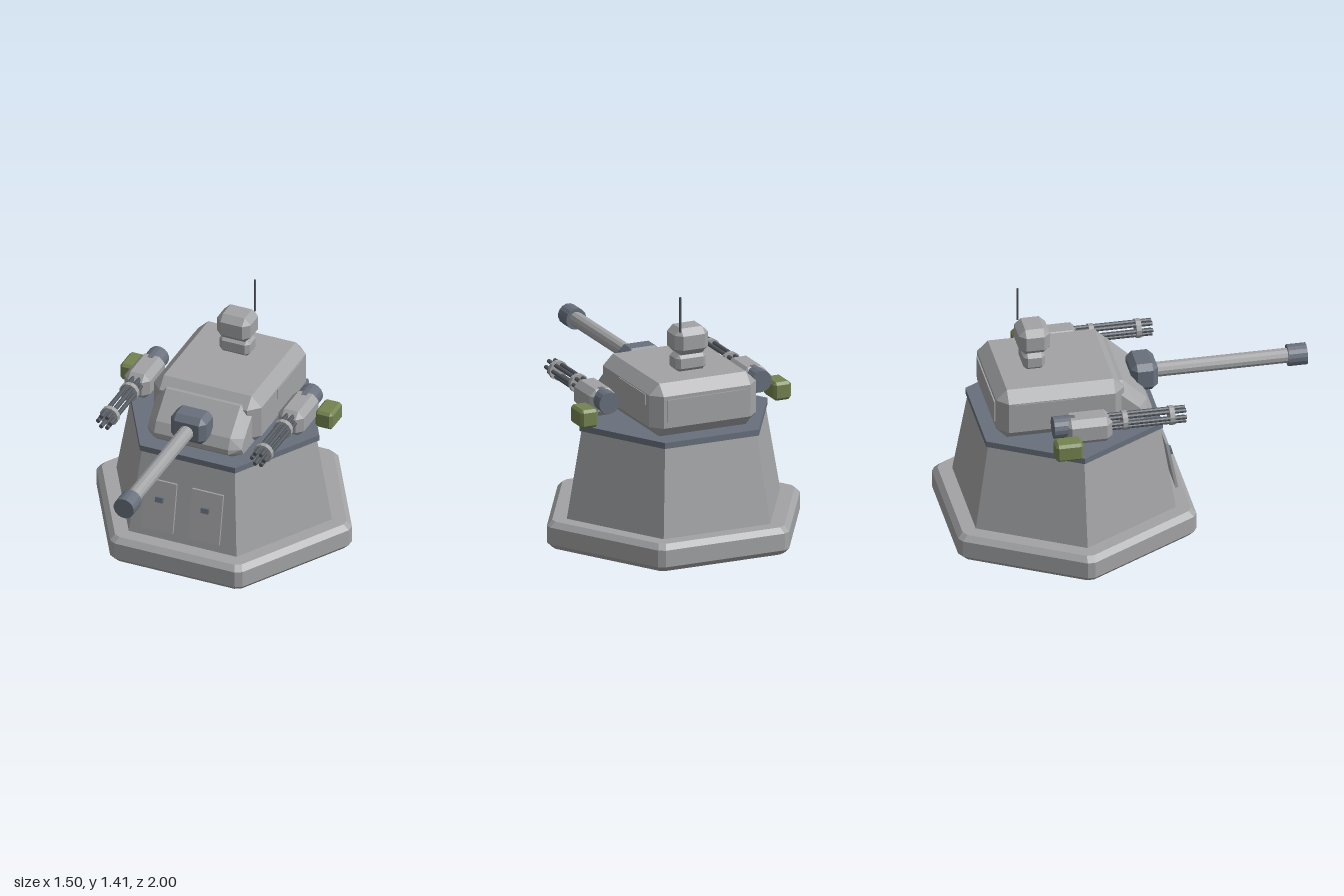
import * as THREE from 'three';
import { ConvexGeometry } from 'three/addons/geometries/ConvexGeometry.js';

const material = (name, color) => {
  const m = new THREE.MeshStandardMaterial({ color });
  m.name = name;
  return m;
};

export function createModel() {
  const model = new THREE.Group();
  model.name = 'gunTurret';
  const armour = material('armourGrey', 0xa2a3a5);
  const steel = material('blueSteel', 0x68707c);
  const gunmetal = material('gunmetal', 0x53585f);
  const green = material('ammoGreen', 0x748350);

  const add = (name, geometry, mat, x = 0, y = 0, z = 0, parent = model) => {
    const mesh = new THREE.Mesh(geometry, mat);
    mesh.name = name;
    mesh.position.set(x, y, z);
    parent.add(mesh);
    return mesh;
  };

  // Box with all edges and corners cut by b
  const chamferBox = (w, h, d, b) => {
    const points = [];
    for (const sx of [-1, 1]) for (const sy of [-1, 1]) for (const sz of [-1, 1]) {
      for (let axis = 0; axis < 3; axis++) {
        const cut = [b, b, b];
        cut[axis] = 0;
        points.push(new THREE.Vector3(sx * (w / 2 - cut[0]), sy * (h / 2 - cut[1]), sz * (d / 2 - cut[2])));
      }
    }
    return new ConvexGeometry(points);
  };

  // Faceted cylinder
  const flat = (geometry) => {
    const g = geometry.toNonIndexed();
    g.computeVertexNormals();
    return g;
  };
  const hexPrism = (rTop, rBottom, h) => flat(new THREE.CylinderGeometry(rTop, rBottom, h, 6).rotateY(Math.PI / 6));
  const rod = (r, length, sides) => flat(new THREE.CylinderGeometry(r, r, length, sides).rotateY(Math.PI / sides).rotateX(Math.PI / 2));

  // Hexagonal foot with chamfered rims and clipped corners
  const footPoints = [];
  for (const [r, y] of [[0.73, 0], [0.762, 0.03], [0.762, 0.125], [0.73, 0.155]]) {
    for (let i = 0; i < 6; i++) {
      const corner = (k) => new THREE.Vector3(r * Math.cos(k * Math.PI / 3), y, r * Math.sin(k * Math.PI / 3));
      for (const side of [-1, 1]) footPoints.push(corner(i).lerp(corner(i + side), 0.032));
    }
  }
  add('foot', new ConvexGeometry(footPoints), armour, 0, 0, -0.34);

  // Pedestal and turntable
  add('pedestal', hexPrism(0.55, 0.642, 0.51), armour, 0, 0.4, -0.34);
  add('turntable', hexPrism(0.565, 0.565, 0.034), steel, 0, 0.662, -0.34);

  // Two leaning access doors with handles
  for (const side of [-1, 1]) {
    const door = new THREE.Group();
    door.name = side > 0 ? 'leftDoor' : 'rightDoor';
    door.position.set(side * 0.138, 0.365, 0.211);
    door.rotation.x = -0.19;
    add('doorPanel', new THREE.BoxGeometry(0.184, 0.292, 0.015), armour, 0, 0, 0, door);
    add('doorHandle', new THREE.BoxGeometry(0.046, 0.03, 0.022), steel, -side * 0.002, 0.04, 0.014, door);
    model.add(door);
  }

  // Turret body with side and rear panels
  add('turretBody', chamferBox(0.64, 0.3, 0.71, 0.06), armour, 0, 0.83, -0.415);
  for (const side of [-1, 1]) {
    add('sidePanel', new THREE.BoxGeometry(0.008, 0.06, 0.34), armour, side * 0.321, 0.885, -0.5);
  }
  add('rearPanel', new THREE.BoxGeometry(0.48, 0.125, 0.009), armour, 0, 0.838, -0.773);

  // Sloped front plate: centre profile as [z, y], narrower profile on the flanks
  const centre = [[-0.15, 0.94], [-0.06, 0.94], [0.075, 0.81], [0.102, 0.75], [0.1, 0.72], [0.05, 0.68], [-0.15, 0.68]];
  const flank = [[-0.15, 0.88], [-0.08, 0.88], [0.02, 0.79], [0.055, 0.74], [0.03, 0.7], [-0.15, 0.7]];
  const wedge = [];
  for (const side of [-1, 1]) {
    for (const [z, y] of centre) wedge.push(new THREE.Vector3(side * 0.22, y, z));
    for (const [z, y] of flank) wedge.push(new THREE.Vector3(side * 0.28, y, z));
  }
  add('frontArmour', new ConvexGeometry(wedge), armour);

  // Main gun
  add('mantlet', chamferBox(0.21, 0.165, 0.15, 0.032), steel, 0, 0.852, 0.09);
  add('mainBarrel', rod(0.042, 0.8, 12), armour, 0, 0.845, 0.52);
  add('muzzle', rod(0.06, 0.105, 16), steel, 0, 0.845, 0.9475);

  // Sensor mast and antenna
  add('sensorNeck', chamferBox(0.18, 0.1, 0.12, 0.022), armour, 0, 1.026, -0.52);
  add('sensorHead', chamferBox(0.2, 0.152, 0.172, 0.036), armour, 0, 1.149, -0.518);
  add('antenna', rod(0.006, 0.2, 8).rotateX(Math.PI / 2), gunmetal, 0.074, 1.31, -0.583);

  // Rotary side guns with ammunition boxes
  for (const side of [-1, 1]) {
    const gun = new THREE.Group();
    gun.name = side > 0 ? 'leftRotaryGun' : 'rightRotaryGun';
    gun.position.set(side * 0.457, 0.832, 0);
    add('gunHousing', chamferBox(0.152, 0.152, 0.265, 0.035), armour, 0, -0.018, -0.305, gun);
    add('gunMotor', rod(0.061, 0.12, 16), steel, 0, 0, -0.435, gun);
    for (const z of [-0.1, 0.16]) add('barrelClamp', rod(0.055, 0.028, 12), armour, 0, 0, z, gun);
    for (let i = 0; i < 6; i++) {
      const a = i * Math.PI / 3;
      add('rotaryBarrel', rod(0.012, 0.43, 8), gunmetal, Math.cos(a) * 0.036, Math.sin(a) * 0.036, 0.023, gun);
    }
    add('ammoBox', chamferBox(0.104, 0.104, 0.152, 0.015), green, side * 0.122, -0.07, -0.434, gun);
    model.add(gun);
  }

  return model;
}
